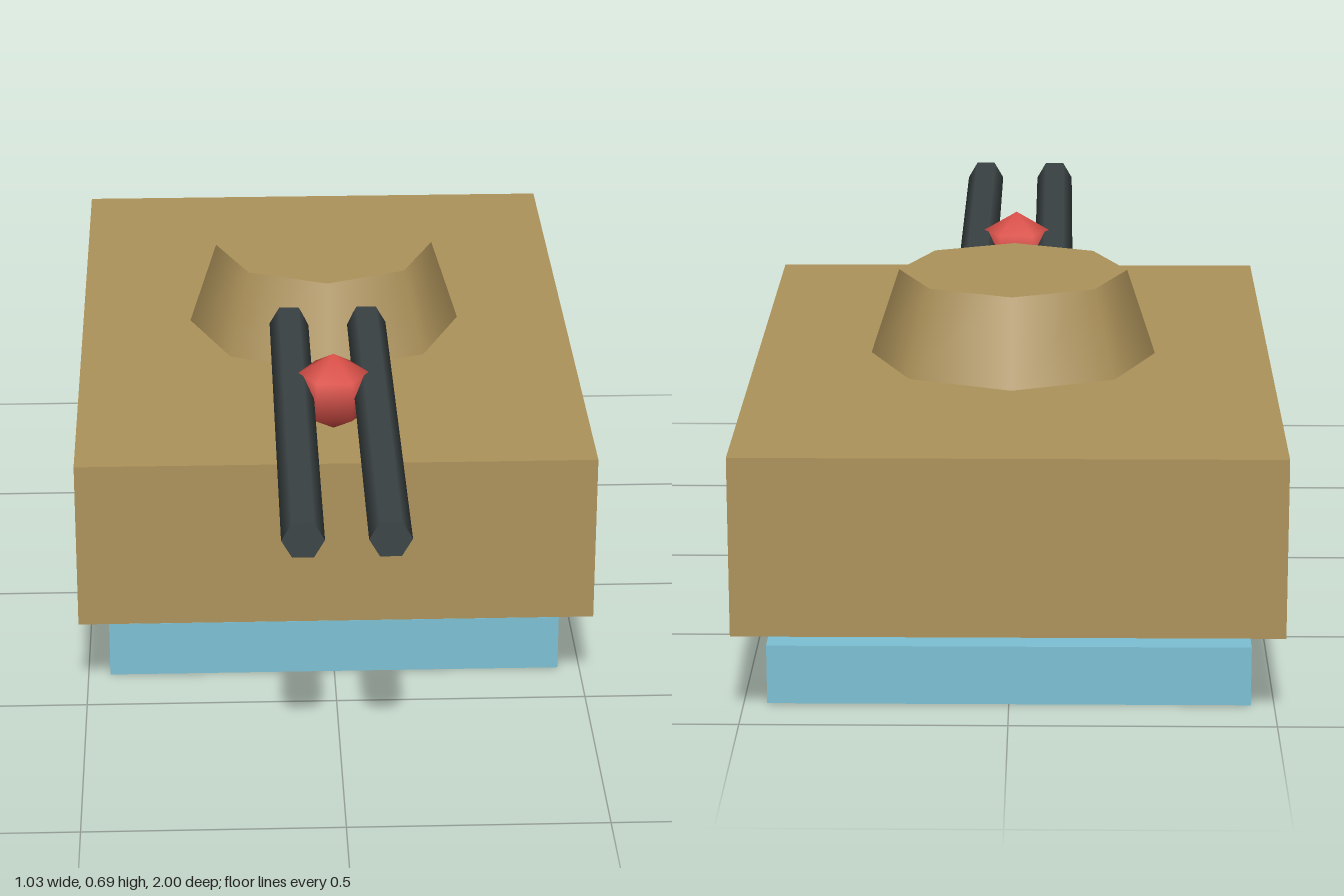
import * as THREE from 'three';

const paint = (name, color) => {
  const m = new THREE.MeshStandardMaterial({ color });
  m.name = name;
  return m;
};

export function createModel() {
  const tan = paint('tan', 0xae935b);
  const blue = paint('paleBlue', 0x7dc1d5);
  const dark = paint('darkGrey', 0x3d4546);
  const red = paint('red', 0xe0524a);

  const model = new THREE.Group();
  const add = (name, geometry, material, x, y, z) => {
    const mesh = new THREE.Mesh(geometry, material);
    mesh.name = name;
    mesh.position.set(x, y, z);
    model.add(mesh);
  };

  // Hull floating above a smaller base slab
  add('base', new THREE.BoxGeometry(0.912, 0.115, 1.26), blue, 0, 0.0575, -0.257);
  add('hull', new THREE.BoxGeometry(1.026, 0.344, 1.485), tan, 0, 0.345, -0.2575);

  // Tapered eight-sided turret
  add('turret', new THREE.CylinderGeometry(0.228, 0.285, 0.172, 8), tan, 0, 0.603, -0.257);

  // Twin six-sided barrels, pointing forward with flat tops
  const barrel = new THREE.CylinderGeometry(0.04, 0.04, 1.029, 6, 1, false, Math.PI / 2);
  barrel.rotateX(Math.PI / 2);
  add('leftBarrel', barrel, dark, 0.08, 0.602, 0.4855);
  add('rightBarrel', barrel, dark, -0.08, 0.602, 0.4855);

  // Faceted ball held between the barrels
  add('ball', new THREE.SphereGeometry(0.08, 6, 3), red, 0, 0.597, 0.313);

  return model;
}
